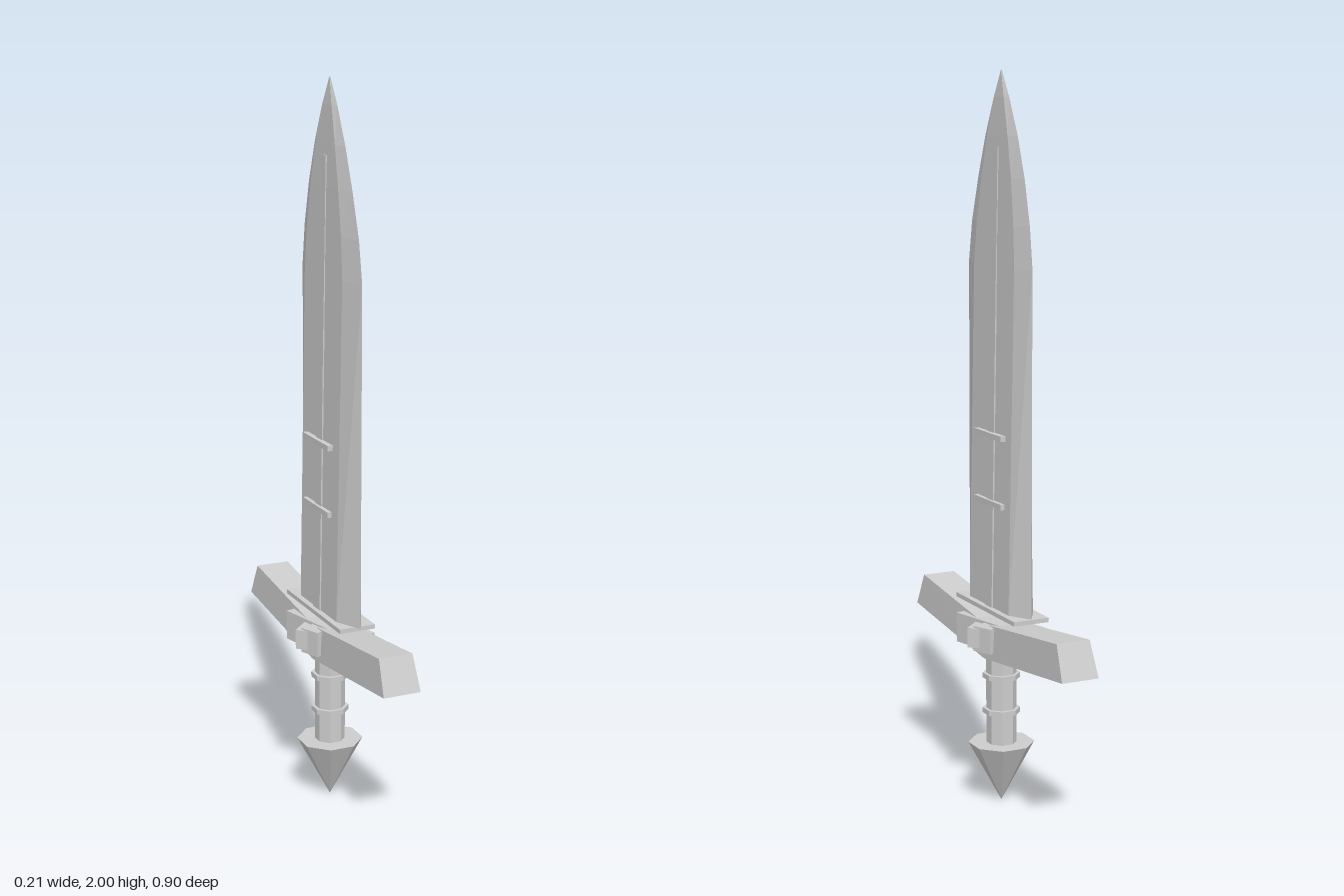
import * as THREE from 'three';

const steel = new THREE.MeshStandardMaterial({ color: 0xcccccc });
steel.name = 'grey steel';

// Joins rings of [x, y, z] by quads and closes both ends, faceted.
// Ring corners run counter-clockwise as seen from the last ring's side.
function loft(rings) {
  const pos = [];
  const n = rings[0].length;
  const tri = (a, b, c) => pos.push(...a, ...b, ...c);
  for (let i = 0; i < rings.length - 1; i++) {
    for (let j = 0; j < n; j++) {
      const k = (j + 1) % n;
      const a = rings[i][j], b = rings[i][k], c = rings[i + 1][k], d = rings[i + 1][j];
      tri(a, b, c);
      tri(a, c, d);
    }
  }
  const first = rings[0], last = rings[rings.length - 1];
  for (let j = 1; j < n - 1; j++) {
    tri(first[0], first[j + 1], first[j]);
    tri(last[0], last[j], last[j + 1]);
  }
  const g = new THREE.BufferGeometry();
  g.setAttribute('position', new THREE.Float32BufferAttribute(pos, 3));
  g.computeVertexNormals();
  return g;
}

export function createModel() {
  const sword = new THREE.Group();
  sword.name = 'sword';

  const add = (name, geometry, y = 0, turn = 0) => {
    const mesh = new THREE.Mesh(geometry, steel);
    mesh.name = name;
    mesh.position.y = y;
    mesh.rotation.y = turn;
    sword.add(mesh);
  };
  // Eight-sided, faceted drum with a flat side to the front
  const drum = (name, top, bottom, y0, y1) => {
    const g = new THREE.CylinderGeometry(top, bottom, y1 - y0, 8).toNonIndexed();
    g.computeVertexNormals();
    add(name, g, (y0 + y1) / 2, Math.PI / 8);
  };

  // Blade: six-sided sections [y, front edge z, back edge z, half thickness]
  const sections = [
    [0.56, 0.2, -0.18, 0.037], [1.49, 0.2, -0.18, 0.021], [1.6, 0.18, -0.165, 0.019],
    [1.72, 0.14, -0.135, 0.016], [1.83, 0.096, -0.095, 0.013], [1.93, 0.045, -0.045, 0.008],
    [2, 0.001, -0.001, 0.001],
  ];
  add('blade', loft(sections.map(([y, f, b, t]) => [
    [0, y, f], [t, y, f * 0.62], [t, y, b * 0.65],
    [0, y, b], [-t, y, b * 0.65], [-t, y, f * 0.62],
  ])));

  // Raised rib and crossbars showing on both faces of the blade
  const rib = (y, x, w) => [[x, y, w], [x, y, -w], [-x, y, -w], [-x, y, w]];
  add('bladeRib', loft([rib(0.56, 0.041, 0.022), rib(1.3, 0.028, 0.018), rib(1.8, 0.017, 0.012)]));
  for (const y of [0.85, 1.035]) {
    add('bladeCrossbar', new THREE.BoxGeometry(0.088, 0.015, 0.165), y);
  }

  // Thin collar plate under the blade
  add('collar', new THREE.BoxGeometry(0.104, 0.012, 0.36), 0.553);

  // Guard: two arms rising outward in a shallow V, slightly narrower on top
  const guardRing = (z, zt, bottom, top) => [
    [-0.053, bottom, z], [0.053, bottom, z], [0.048, top, zt], [-0.048, top, zt],
  ];
  add('guard', loft([
    guardRing(-0.452, -0.412, 0.465, 0.558),
    guardRing(0, 0, 0.413, 0.508),
    guardRing(0.452, 0.412, 0.465, 0.558),
  ]));

  // Turned blocks crossing the middle of the guard
  add('guardSlab', new THREE.BoxGeometry(0.084, 0.083, 0.288), 0.473, 0.24);
  add('guardDiamond', new THREE.BoxGeometry(0.146, 0.055, 0.146), 0.478, Math.PI / 4);
  add('guardPeg', new THREE.BoxGeometry(0.164, 0.07, 0.06), 0.475, 0.4);

  // Grip with two rings, and a pointed pommel
  drum('grip', 0.042, 0.042, 0.16, 0.44);
  for (const y of [0.26, 0.36]) drum('gripRing', 0.052, 0.052, y - 0.007, y + 0.007);
  drum('pommel', 0.092, 0.001, 0, 0.168);

  return sword;
}
